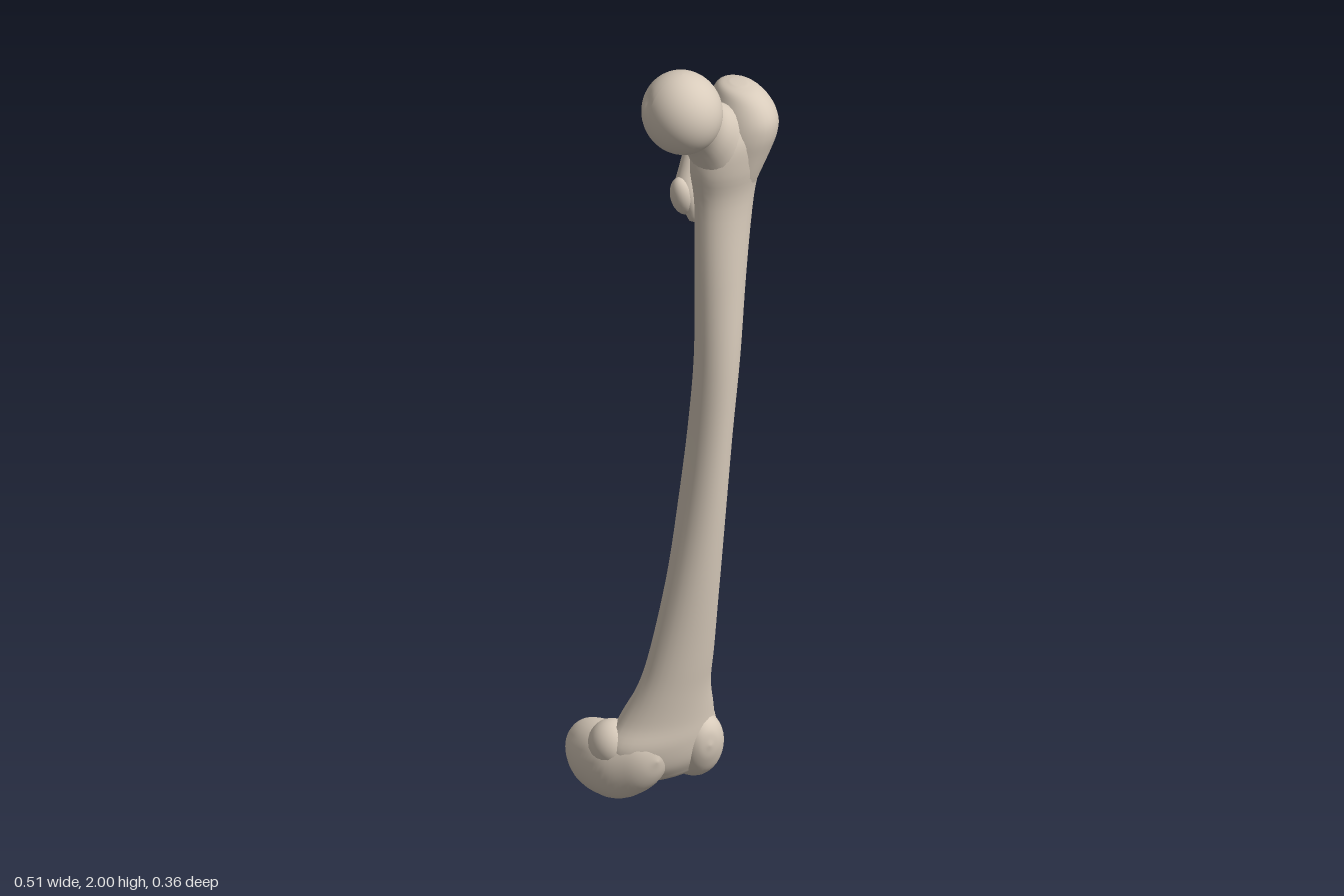
import * as THREE from 'three';

const bone = new THREE.MeshStandardMaterial({ color: 0xd8cbbb });
const X = new THREE.Vector3(1, 0, 0);
const Y = new THREE.Vector3(0, 1, 0);
const Z = new THREE.Vector3(0, 0, 1);

// Smooth closed skin over oval sections. Each row is [x, y, z, radiusU, radiusV];
// sections advance along dir, u is their first axis, pinch narrows their -u side.
function sweep(name, rows, dir, u, { steps = 5, sides = 28, pinch = 0 } = {}) {
  const v = dir.clone().cross(u).normalize();
  const centres = new THREE.CatmullRomCurve3(
    rows.map(r => new THREE.Vector3(r[0], r[1], r[2])), false, 'catmullrom', 0.5);
  const radii = new THREE.CatmullRomCurve3(
    rows.map(r => new THREE.Vector3(r[3], r[4], 0)), false, 'catmullrom', 0.5);
  const rings = (rows.length - 1) * steps;
  const pos = [];
  const index = [];
  for (let i = 0; i <= rings; i++) {
    const c = centres.getPoint(i / rings);
    const r = radii.getPoint(i / rings);
    for (let j = 0; j < sides; j++) {
      const a = (j / sides) * Math.PI * 2;
      const cu = Math.cos(a);
      const narrow = 1 - pinch * Math.max(0, -cu);
      const p = c.clone()
        .addScaledVector(u, cu * r.x)
        .addScaledVector(v, Math.sin(a) * r.y * narrow);
      pos.push(p.x, p.y, p.z);
    }
  }
  for (let i = 0; i < rings; i++) {
    for (let j = 0; j < sides; j++) {
      const k = (j + 1) % sides;
      const a = i * sides + j, b = i * sides + k;
      index.push(a, b, a + sides, b, b + sides, a + sides);
    }
  }
  // End caps
  const first = rows[0], last = rows[rows.length - 1];
  const start = pos.length / 3;
  pos.push(first[0], first[1], first[2], last[0], last[1], last[2]);
  for (let j = 0; j < sides; j++) {
    const k = (j + 1) % sides;
    index.push(start, k, j, start + 1, rings * sides + j, rings * sides + k);
  }
  const geo = new THREE.BufferGeometry();
  geo.setAttribute('position', new THREE.Float32BufferAttribute(pos, 3));
  geo.setIndex(index);
  geo.computeVertexNormals();
  const mesh = new THREE.Mesh(geo, bone);
  mesh.name = name;
  return mesh;
}

// Row from extents: [y, xMin, xMax, zBack, zFront]
const extent = ([y, x0, x1, z0, z1]) =>
  [(x0 + x1) / 2, y, (z0 + z1) / 2, (z1 - z0) / 2, (x1 - x0) / 2];

function ellipsoid(name, x, y, z, rx, ry, rz) {
  const geo = new THREE.SphereGeometry(1, 24, 16);
  geo.scale(rx, ry, rz);
  const mesh = new THREE.Mesh(geo, bone);
  mesh.position.set(x, y, z);
  mesh.name = name;
  return mesh;
}

// Ball with a small pit on its inner side
function makeHead() {
  const geo = new THREE.SphereGeometry(0.105, 48, 32);
  const pit = new THREE.Vector3(-0.82, 0.37, -0.33).normalize();
  const p = geo.attributes.position;
  const q = new THREE.Vector3();
  for (let i = 0; i < p.count; i++) {
    q.fromBufferAttribute(p, i);
    const angle = q.angleTo(pit);
    q.multiplyScalar(1 - 0.1 * Math.exp(-((angle / 0.16) ** 2)));
    p.setXYZ(i, q.x * 0.93, q.y, q.z);
  }
  geo.computeVertexNormals();
  const mesh = new THREE.Mesh(geo, bone);
  mesh.position.set(-0.035, 1.895, 0.072);
  mesh.name = 'head';
  return mesh;
}

export function createModel() {
  const group = new THREE.Group();
  group.name = 'thighBone';

  // Bowed shaft, flaring into the knee end, with a ridge down the back
  group.add(sweep('shaft', [
    [0.055, -0.13, 0.04, -0.01, 0.06],
    [0.1, -0.2, 0.085, -0.05, 0.085],
    [0.16, -0.215, 0.09, -0.075, 0.098],
    [0.22, -0.18, 0.083, -0.075, 0.1],
    [0.3, -0.143, 0.063, -0.04, 0.107],
    [0.4, -0.115, 0.063, -0.02, 0.118],
    [0.6, -0.075, 0.067, 0, 0.135],
    [0.8, -0.042, 0.078, 0.005, 0.143],
    [1.0, -0.015, 0.095, 0.01, 0.143],
    [1.2, 0.003, 0.12, 0.01, 0.138],
    [1.4, 0.015, 0.15, -0.01, 0.12],
    [1.6, 0.025, 0.187, -0.028, 0.1],
    [1.7, 0.015, 0.212, -0.045, 0.11],
    [1.77, 0.03, 0.225, -0.05, 0.11],
    [1.82, 0.08, 0.215, -0.03, 0.09],
  ].map(extent), Y, Z, { pinch: 0.3 }));

  // Large outer knob at the hip end
  group.add(sweep('greaterTrochanter', [
    [1.58, 0.08, 0.175, -0.01, 0.07],
    [1.66, 0.075, 0.203, -0.05, 0.098],
    [1.73, 0.075, 0.238, -0.085, 0.115],
    [1.78, 0.085, 0.254, -0.088, 0.125],
    [1.82, 0.1, 0.252, -0.085, 0.122],
    [1.855, 0.115, 0.238, -0.078, 0.1],
    [1.88, 0.13, 0.215, -0.055, 0.065],
    [1.89, 0.155, 0.19, -0.02, 0.025],
  ].map(extent), Y, Z));

  // Neck leaning inward and forward to the ball
  const neckDir = new THREE.Vector3(0.74, -0.64, -0.216).normalize();
  const neckU = new THREE.Vector3(0.28, 0, 0.96).normalize();
  group.add(sweep('neck', [
    [-0.02, 1.885, 0.068, 0.08, 0.085],
    [0.005, 1.86, 0.06, 0.07, 0.073],
    [0.035, 1.828, 0.05, 0.066, 0.071],
    [0.07, 1.79, 0.042, 0.068, 0.083],
    [0.1, 1.75, 0.032, 0.07, 0.096],
    [0.125, 1.7, 0.025, 0.05, 0.08],
  ], neckDir, neckU));
  group.add(makeHead());

  // Crest across the back, running down to the small inner knob
  const crestDir = new THREE.Vector3(-0.43, -0.88, 0.2).normalize();
  const crestU = crestDir.clone().cross(X).normalize();
  group.add(sweep('crest', [
    [0.15, 1.85, -0.045, 0.02, 0.025],
    [0.135, 1.81, -0.058, 0.033, 0.035],
    [0.1, 1.74, -0.045, 0.034, 0.036],
    [0.06, 1.67, -0.025, 0.034, 0.036],
    [0.035, 1.61, -0.01, 0.034, 0.034],
    [0.045, 1.54, 0.01, 0.015, 0.018],
  ], crestDir, crestU));
  const knob = ellipsoid('lesserTrochanter', 0.022, 1.61, -0.013, 0.031, 0.052, 0.033);
  knob.rotation.z = 0.2;
  group.add(knob);

  // Two rounded knee knuckles, swept front to back
  const back = Z.clone().negate();
  group.add(sweep('innerCondyle', [
    [-0.12, 0.13, 0.093, 0.004, 0.004],
    [-0.123, 0.127, 0.083, 0.045, 0.04],
    [-0.135, 0.118, 0.06, 0.075, 0.062],
    [-0.16, 0.1, 0.015, 0.091, 0.078],
    [-0.175, 0.096, -0.04, 0.094, 0.079],
    [-0.178, 0.094, -0.1, 0.086, 0.074],
    [-0.176, 0.098, -0.15, 0.062, 0.056],
    [-0.175, 0.1, -0.174, 0.032, 0.03],
    [-0.175, 0.1, -0.181, 0.004, 0.004],
  ], back, Y));
  group.add(sweep('outerCondyle', [
    [0.025, 0.14, 0.106, 0.004, 0.004],
    [0.026, 0.138, 0.098, 0.042, 0.032],
    [0.03, 0.126, 0.073, 0.076, 0.056],
    [0.036, 0.112, 0.02, 0.093, 0.067],
    [0.044, 0.106, -0.04, 0.092, 0.063],
    [0.044, 0.102, -0.1, 0.082, 0.056],
    [0.044, 0.102, -0.145, 0.06, 0.046],
    [0.045, 0.102, -0.168, 0.032, 0.027],
    [0.045, 0.102, -0.176, 0.004, 0.004],
  ], back, Y));

  // Bumps above the knuckles on either side
  group.add(ellipsoid('innerEpicondyle', -0.182, 0.15, -0.015, 0.06, 0.065, 0.062));
  group.add(ellipsoid('outerEpicondyle', 0.052, 0.155, 0.0, 0.045, 0.07, 0.06));

  return group;
}
